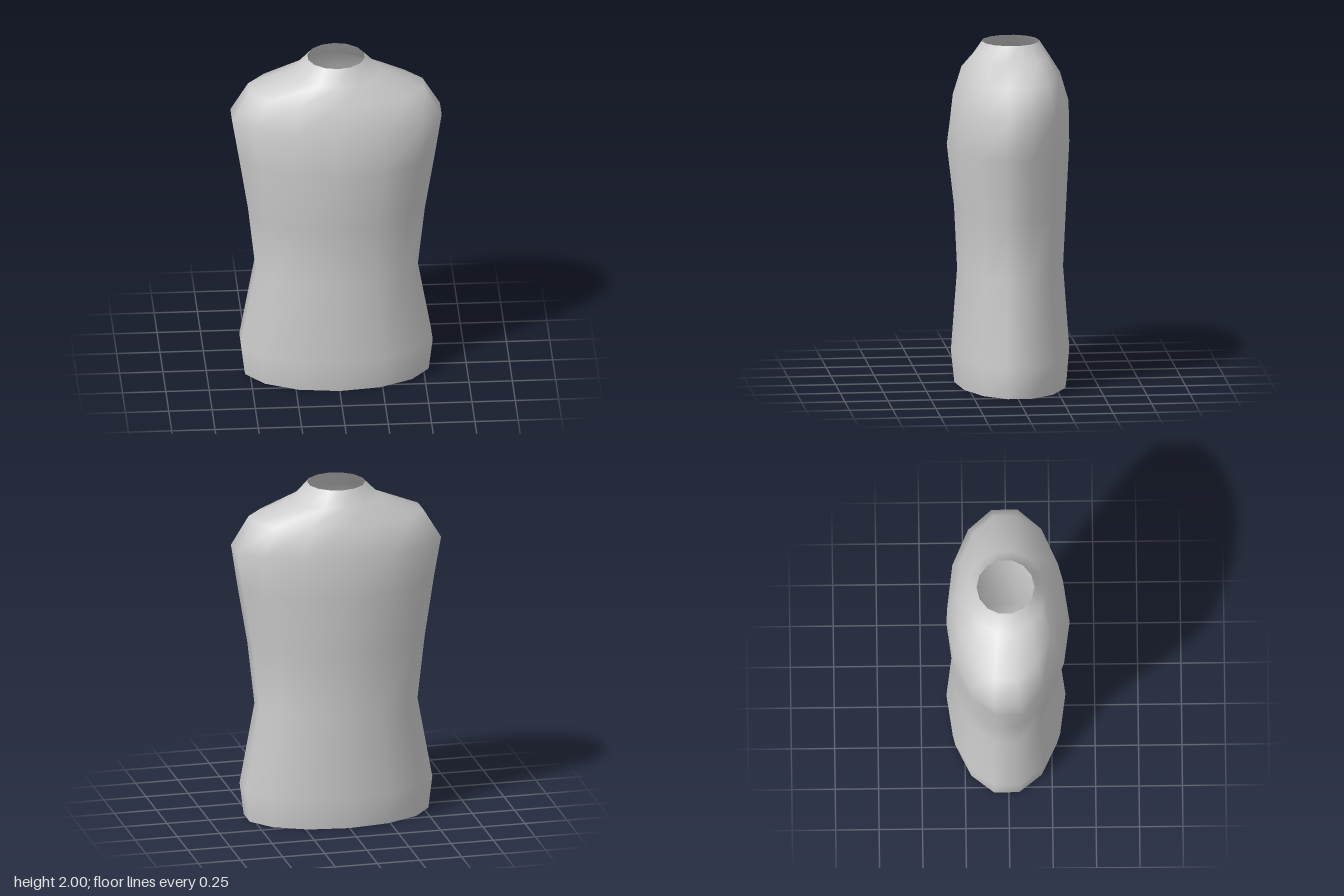
import * as THREE from 'three';

const SIDES = 14;
// Cross-sections from hem to neck: [y, half width, front z, back z]
const RINGS = [
  [0, 0.53, 0.312, -0.338],
  [0.19, 0.553, 0.332, -0.354],
  [0.67, 0.467, 0.296, -0.318],
  [1.04, 0.508, 0.314, -0.336],
  [1.4, 0.565, 0.356, -0.354],
  [1.64, 0.605, 0.325, -0.35],
  [1.81, 0.503, 0.275, -0.3],
  [1.91, 0.25, 0.213, -0.238],
  [2, 0.163, 0.153, -0.18],
];

// Points of one oval cross-section, with flat edges at the sides
function ringPoints([y, halfWidth, front, back]) {
  const rx = halfWidth / Math.cos(Math.PI / SIDES);
  const rz = (front - back) / 2, cz = (front + back) / 2;
  return Array.from({ length: SIDES }, (_, j) => {
    const a = (j / SIDES) * Math.PI * 2;
    return [rx * Math.sin(a), y, cz + rz * Math.cos(a)];
  });
}

function buildGeometry(points, index) {
  const g = new THREE.BufferGeometry();
  g.setAttribute('position', new THREE.Float32BufferAttribute(points.flat(), 3));
  g.setIndex(index);
  g.computeVertexNormals();
  return g;
}

export function createModel() {
  const group = new THREE.Group();
  group.name = 'torso';
  const grey = new THREE.MeshStandardMaterial({ color: 0xcccccc, side: THREE.DoubleSide });
  grey.name = 'light grey';

  // Smooth body shell, open at the neck
  const index = [];
  for (let i = 0; i < RINGS.length - 1; i++) {
    for (let j = 0; j < SIDES; j++) {
      const k = (j + 1) % SIDES;
      const a = i * SIDES + j, b = i * SIDES + k;
      index.push(a, b, b + SIDES, a, b + SIDES, a + SIDES);
    }
  }
  const body = new THREE.Mesh(buildGeometry(RINGS.flatMap(ringPoints), index), grey);
  body.name = 'body';

  // Flat underside
  const fan = [];
  for (let j = 1; j < SIDES - 1; j++) fan.push(0, j + 1, j);
  const base = new THREE.Mesh(buildGeometry(ringPoints(RINGS[0]), fan), grey);
  base.name = 'base';

  group.add(body, base);
  return group;
}
